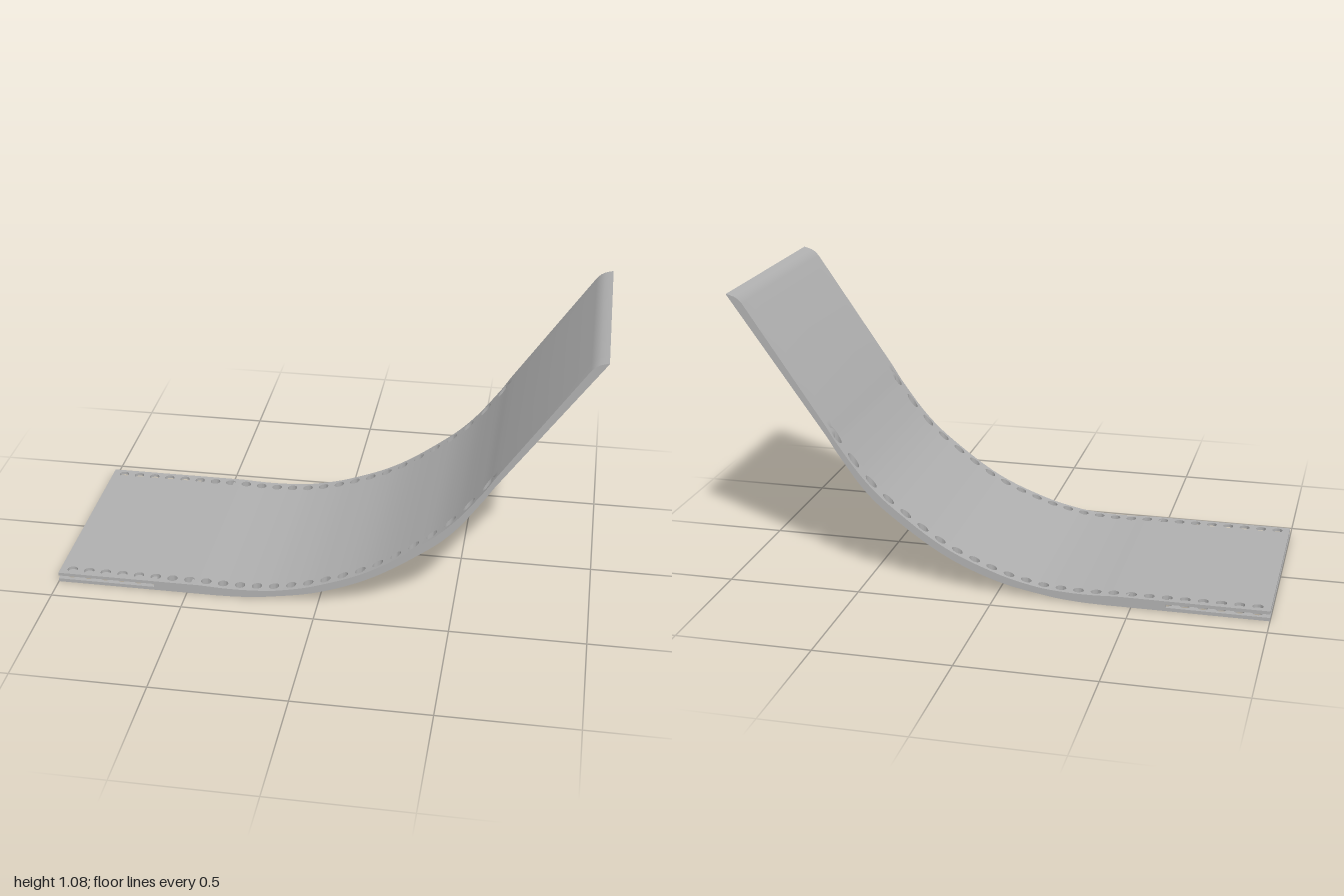
import * as THREE from 'three';
import { toCreasedNormals } from 'three/addons/utils/BufferGeometryUtils.js';

const W = 0.404;          // half width of the strip
const PITCH = 0.0652;     // hole spacing
const FIRST = -0.953;     // x of the first hole
const HOLES = 25;
const RADIUS = 0.0195;
const HOLE_Z = W - PITCH / 2;
const INNER_Z = W - PITCH;
const SLIT_END = FIRST + 5 * PITCH;
const SLIT = [0.013, 0.026];
const N = 24;             // sides of a hole

const TOP = [[-1, 0.038], [-0.5, 0.038], [-0.45, 0.038], [-0.35, 0.034], [-0.25, 0.036], [-0.15, 0.046],
  [0, 0.084], [0.2, 0.17], [0.4, 0.312], [0.5, 0.408], [0.6, 0.54], [0.64, 0.603], [0.94, 1.043], [0.965, 1.065], [1, 1.076]];
const BOTTOM = [[-1, 0], [-0.5, 0], [-0.45, 0], [-0.4, 0], [-0.3, 0.003], [-0.2, 0.013], [0, 0.054], [0.2, 0.138],
  [0.4, 0.275], [0.5, 0.368], [0.6, 0.505], [0.635, 0.56], [1, 1.074]];

// Smooth height profile through uneven points
function height(pts, x) {
  let i = 0;
  while (i < pts.length - 2 && x > pts[i + 1][0]) i++;
  const slope = (k) => {
    const a = pts[Math.max(k - 1, 0)], b = pts[Math.min(k + 1, pts.length - 1)];
    return (b[1] - a[1]) / (b[0] - a[0]);
  };
  const [x0, y0] = pts[i], [x1, y1] = pts[i + 1];
  const h = x1 - x0, t = (x - x0) / h, s = 1 - t;
  return y0 * (1 + 2 * t) * s * s + y1 * t * t * (3 - 2 * t)
    + h * slope(i) * t * s * s - h * slope(i + 1) * t * t * s;
}
const top = (x) => height(TOP, x);
const bottom = (x) => height(BOTTOM, x);
const near = (a, b) => Math.abs(a - b) < 1e-6;

// Collects vertical prisms whose corners [x, z] run anticlockwise from above
function makeBuilder() {
  const pos = [];
  const tri = (a, b, c) => pos.push(...a, ...b, ...c);
  const at = ([x, z], f) => [x, f(x), z];
  const wall = (p, q, lo, hi) => {
    tri(at(p, lo), at(q, lo), at(q, hi));
    tri(at(p, lo), at(q, hi), at(p, hi));
  };
  const prism = (c, layers, isWall) => {
    for (const [lo, hi] of layers) {
      for (let i = 1; i < c.length - 1; i++) {
        tri(at(c[0], hi), at(c[i], hi), at(c[i + 1], hi));
        tri(at(c[0], lo), at(c[i + 1], lo), at(c[i], lo));
      }
      c.forEach((p, i) => {
        const q = c[(i + 1) % c.length];
        if (isWall(p, q, i)) wall(p, q, lo, hi);
      });
    }
  };
  const geometry = () => {
    const g = new THREE.BufferGeometry();
    g.setAttribute('position', new THREE.Float32BufferAttribute(pos, 3));
    return toCreasedNormals(g, 0.6);
  };
  return { prism, wall, geometry };
}

export function createModel() {
  const group = new THREE.Group();
  group.name = 'perforatedStrip';
  const grey = new THREE.MeshStandardMaterial({ color: 0xb0b0b0 });
  grey.name = 'grey';
  const strip = makeBuilder();
  const plugs = makeBuilder();

  const slitLow = () => SLIT[0], slitHigh = () => SLIT[1];
  const solid = [[bottom, top]];
  const flaps = [[bottom, slitLow], [slitHigh, top]];

  // One patch of the strip: two flaps before the slit's end, solid after it
  function patch(c, holeEdge = -1) {
    const mid = c.reduce((s, p) => s + p[0], 0) / c.length;
    const split = mid < SLIT_END;
    strip.prism(c, split ? flaps : solid, (p, q, i) => i === holeEdge
      || (near(Math.abs(p[1]), W) && near(p[1], q[1]))
      || (near(Math.abs(p[0]), 1) && near(p[0], q[0])));
    if (!split) c.forEach((p, i) => {
      const q = c[(i + 1) % c.length];
      if (near(p[0], SLIT_END) && near(q[0], SLIT_END)) strip.wall(p, q, slitLow, slitHigh);
    });
  }
  const rect = (x0, x1, z0, z1) => patch([[x0, z1], [x1, z1], [x1, z0], [x0, z0]]);

  // Plain ends beyond the holes
  const start = FIRST - PITCH / 2, end = start + HOLES * PITCH;
  const columns = [end, 0.94, 0.955, 0.97, 0.985, 1];
  const bands = [[-W, -INNER_Z], [-INNER_Z, INNER_Z], [INNER_Z, W]];
  for (const [z0, z1] of bands) {
    rect(-1, start, z0, z1);
    for (let i = 0; i < columns.length - 1; i++) rect(columns[i], columns[i + 1], z0, z1);
  }

  // Square outline of a hole cell, matched point for point to the circle
  const square = (j) => {
    const t = (j % 6) / 3 - 1;
    return [[1, -t], [-t, -1], [-1, t], [t, 1]][Math.floor(j / 6) % 4];
  };

  for (let k = 0; k < HOLES; k++) {
    const cx = FIRST + k * PITCH;
    // Middle of the strip
    for (let i = 0; i < 6; i++) {
      rect(cx + (i / 3 - 1) * PITCH / 2, cx + ((i + 1) / 3 - 1) * PITCH / 2, -INNER_Z, INNER_Z);
    }
    // Perforated margins
    for (const cz of [-HOLE_Z, HOLE_Z]) {
      const outer = (j) => square(j).map((v, a) => (a ? cz : cx) + v * PITCH / 2);
      const inner = (j) => {
        const a = -Math.PI / 4 + (j * 2 * Math.PI) / N;
        return [cx + RADIUS * Math.cos(a), cz - RADIUS * Math.sin(a)];
      };
      for (let j = 0; j < N; j++) {
        patch([outer(j), outer(j + 1), inner(j + 1), inner(j)], 2);
      }
      // Partly closed holes where the sections join
      if (k === 7 || k === HOLES - 1) {
        const c = [];
        for (let j = N - 1; j <= N + 7; j++) c.push(inner(j));
        plugs.prism(c, [[(x) => bottom(x) + 0.004, (x) => top(x) - 0.004]],
          (p, q, i) => i === c.length - 1);
      }
    }
  }

  const add = (builder, name) => {
    const mesh = new THREE.Mesh(builder.geometry(), grey);
    mesh.name = name;
    group.add(mesh);
  };
  add(strip, 'curvedStrip');
  add(plugs, 'holePlugs');
  return group;
}
